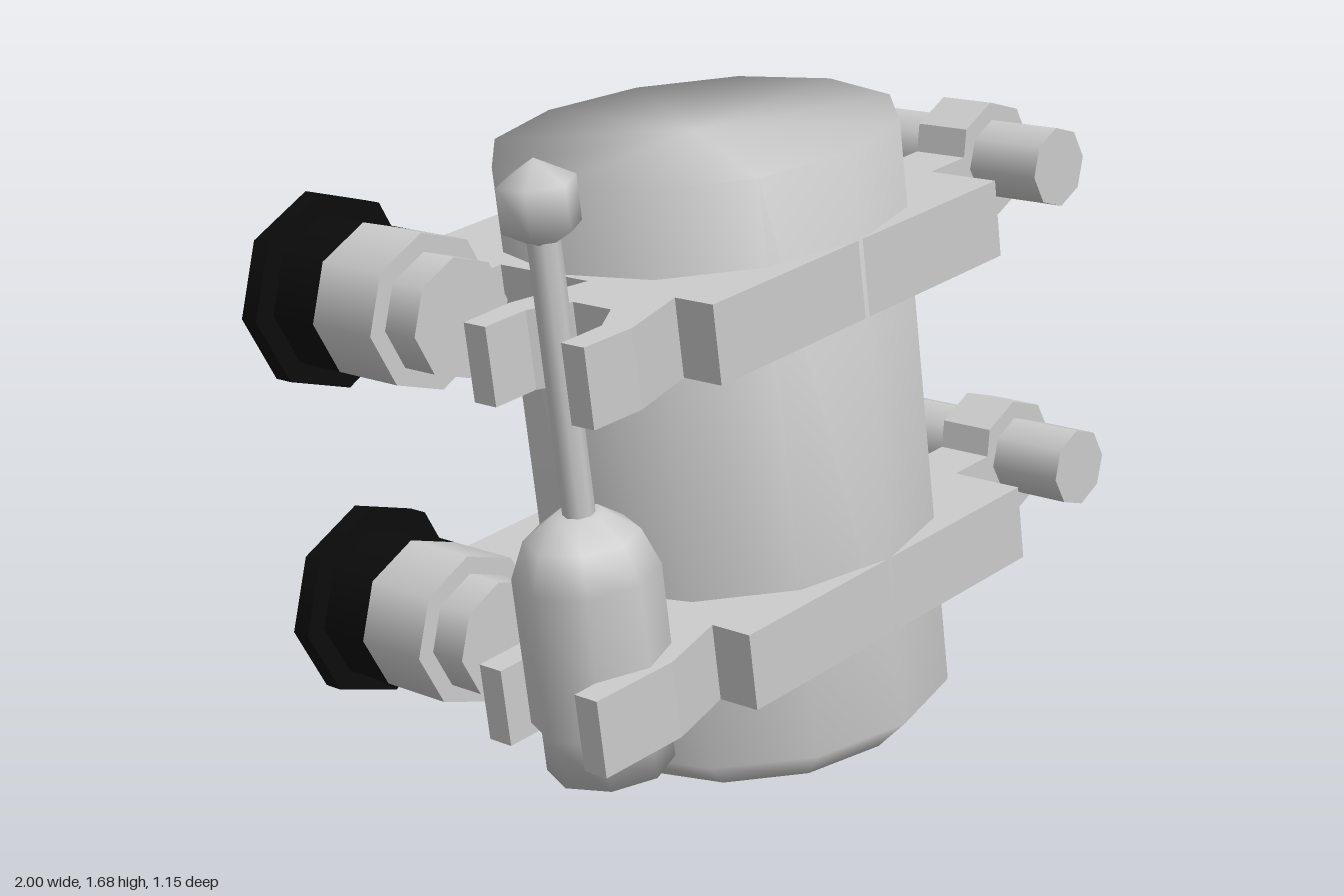
import * as THREE from 'three';

const grey = new THREE.MeshStandardMaterial({ color: 0xcccccc, side: THREE.DoubleSide });
const black = new THREE.MeshStandardMaterial({ color: 0x0b0b0b });

function add(parent, name, geometry, x, y, z, material = grey) {
  const mesh = new THREE.Mesh(geometry, material);
  mesh.name = name;
  mesh.position.set(x, y, z);
  parent.add(mesh);
  return mesh;
}

const lathe = (profile, sides) =>
  new THREE.LatheGeometry(profile.map(([r, y]) => new THREE.Vector2(r, y)), sides);

// Prism from an outline, extruded towards +z
const prism = (outline, depth) => new THREE.ExtrudeGeometry(
  new THREE.Shape(outline.map(([x, y]) => new THREE.Vector2(x, y))),
  { depth, bevelEnabled: false });

// Eight-sided cylinder along z, reaching from z0 to z1
function rod(parent, name, r, x, y, z0, z1, material) {
  const geometry = new THREE.CylinderGeometry(r, r, z1 - z0, 8);
  geometry.rotateX(Math.PI / 2);
  return add(parent, name, geometry, x, y, (z0 + z1) / 2, material);
}

// Open clip in plan: two prongs pointing to -x, joined at the clamp plate
function clipGeometry(tip) {
  const half = [[tip, 0.12], [tip, 0.19], [-0.7, 0.195], [-0.58, 0.16], [-0.48, 0.13]];
  const inner = [[-0.63, -0.06], [-0.63, 0.06], [-0.72, 0.12]];
  const mirrored = half.map(([x, y]) => [x, -y]).reverse();
  const outline = [...half, ...mirrored, [-0.72, -0.12], ...inner];
  return prism(outline, 0.19).rotateX(-Math.PI / 2);
}

// Bar ending in an octagonal eye around the hinge rod
function hookGeometry() {
  const eye = [];
  for (let i = -2; i <= 3; i++) {
    const a = i * Math.PI / 4;
    eye.push([0.755 + 0.145 * Math.cos(a), 0.155 + 0.145 * Math.sin(a)]);
  }
  return prism([[0.48, 0], ...eye, [0.635, 0.19], [0.48, 0.19]], 0.15);
}

export function createModel() {
  const root = new THREE.Group();
  root.name = 'clampedTank';
  const body = new THREE.Group();
  body.name = 'tiltedAssembly';
  body.position.set(0.1725, 0.17, 0.075);
  body.rotation.z = 0.156;
  root.add(body);

  // Main tank: flat top, rounded bottom
  add(body, 'tank', lathe(
    [[0, -0.148], [0.147, -0.147], [0.405, -0.087], [0.5, 0], [0.5, 1.45], [0, 1.45]], 12), 0, 0, 0);

  // Two clamps, each with hinge, clip and hand wheel
  for (const [base, tip] of [[0.25, -0.94], [1.05, -0.845]]) {
    const clamp = new THREE.Group();
    clamp.name = base < 1 ? 'lowerClamp' : 'upperClamp';
    clamp.position.y = base;
    body.add(clamp);

    add(clamp, 'clampPlate', new THREE.BoxGeometry(1.01, 0.19, 0.996), 0, 0.095, 0);
    rod(clamp, 'hingeRod', 0.1, 0.755, 0.155, -0.498, 0.5);
    for (const z of [-0.295, 0.15]) add(clamp, 'hingeHook', hookGeometry(), 0, 0, z);
    add(clamp, 'bottleClip', clipGeometry(tip), 0, 0, 0.245);

    // Valve pipe with black hand wheel at the back
    add(clamp, 'valveBracket', new THREE.BoxGeometry(0.2, 0.19, 0.145), -0.56, 0.095, -0.255);
    rod(clamp, 'valvePipeEnd', 0.145, -0.755, 0.155, -0.16, -0.055);
    rod(clamp, 'valvePipe', 0.19, -0.755, 0.155, -0.355, -0.155);
    rod(clamp, 'handWheelCollar', 0.19, -0.755, 0.155, -0.5, -0.355, black);
    rod(clamp, 'handWheelRim', 0.242, -0.755, 0.155, -0.55, -0.498, black);
    rod(clamp, 'handWheelHub', 0.148, -0.755, 0.155, -0.647, -0.55, black);
  }

  // Small side bottle with stem and ball
  const bottle = new THREE.Group();
  bottle.name = 'sideBottle';
  bottle.position.set(-0.748, 0, 0.245);
  body.add(bottle);
  add(bottle, 'bottleBody', lathe(
    [[0, 0.155], [0.15, 0.155], [0.15, 0.25], [0.172, 0.28], [0.172, 0.64],
      [0.135, 0.73], [0.06, 0.783], [0, 0.783]], 8), 0, 0, 0);
  add(bottle, 'stem', new THREE.CylinderGeometry(0.038, 0.038, 0.7, 8), 0, 1.11, 0);
  add(bottle, 'stemBall', new THREE.SphereGeometry(0.105, 6, 3), 0, 1.51, 0).rotation.y = Math.PI / 6;

  return root;
}
